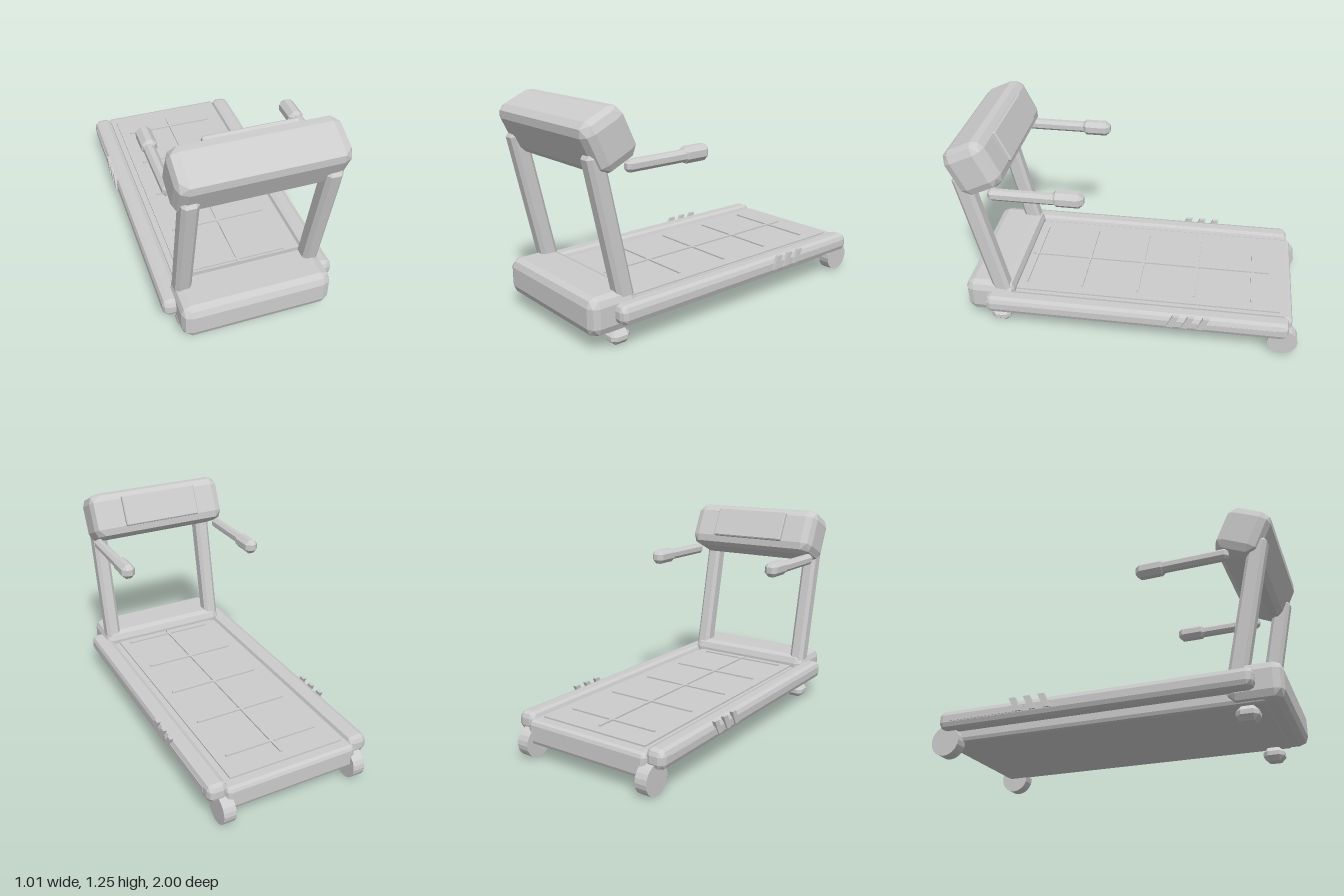
import * as THREE from 'three';
import { ConvexGeometry } from 'three/addons/geometries/ConvexGeometry.js';

const grey = new THREE.MeshStandardMaterial({ color: 0xcccccc });
grey.name = 'light grey';

// Box with bevelled edges: hull of eight faceted corner octants
function bevelBox(w, h, d, r, segs = 1) {
  const pts = [];
  for (const sx of [-1, 1]) for (const sy of [-1, 1]) for (const sz of [-1, 1])
    for (let i = 0; i <= segs; i++) for (let j = 0; j <= segs - i; j++) {
      const n = new THREE.Vector3(i, j, segs - i - j).normalize();
      pts.push(new THREE.Vector3(
        sx * (w / 2 - r + n.x * r), sy * (h / 2 - r + n.y * r), sz * (d / 2 - r + n.z * r)));
    }
  return new ConvexGeometry(pts);
}

export function createModel() {
  const model = new THREE.Group();
  model.name = 'treadmill';

  const add = (name, geo, x, y, z, rx = 0, parent = model) => {
    const mesh = new THREE.Mesh(geo, grey);
    mesh.name = name;
    mesh.position.set(x, y, z);
    mesh.rotation.x = rx;
    parent.add(mesh);
    return mesh;
  };

  // Running deck, belt and tread lines
  add('deck', bevelBox(0.8, 0.14, 1.86, 0.025, 2), 0, 0.155, -0.03);
  add('belt', new THREE.BoxGeometry(0.695, 0.02, 1.62), 0, 0.224, -0.075);
  add('treadLineCentre', new THREE.BoxGeometry(0.014, 0.012, 1.5), 0, 0.237, -0.075);
  for (let i = 0; i < 5; i++)
    add('treadLineCross', new THREE.BoxGeometry(0.57, 0.012, 0.014), 0, 0.237, -0.72 + i * 0.34);

  // Motor hood
  add('motorHood', bevelBox(0.85, 0.21, 0.295, 0.05, 2), 0, 0.195, 0.837);

  // Console with display panel on the user's side
  const consoleGroup = new THREE.Group();
  consoleGroup.name = 'console';
  consoleGroup.position.set(0, 1.083, 0.84);
  consoleGroup.rotation.x = 0.44;
  model.add(consoleGroup);
  add('consoleBody', bevelBox(0.89, 0.29, 0.26, 0.058, 2), 0, 0, 0, 0, consoleGroup);
  add('displayPanel', bevelBox(0.5, 0.19, 0.03, 0.006), 0, 0.005, -0.138, 0, consoleGroup);

  // Slanted side accent
  const slash = new THREE.Shape([
    new THREE.Vector2(0, 0), new THREE.Vector2(0.038, 0),
    new THREE.Vector2(0.076, 0.08), new THREE.Vector2(0.038, 0.08)]);
  const slashGeo = new THREE.ExtrudeGeometry(slash, { depth: 0.02, bevelEnabled: false });
  slashGeo.translate(0, 0, -0.01).rotateY(Math.PI / 2);

  const wheelGeo = new THREE.CylinderGeometry(0.087, 0.087, 0.072, 20).toNonIndexed();
  wheelGeo.computeVertexNormals();
  wheelGeo.rotateZ(Math.PI / 2);

  // Parts repeated on both sides
  for (const s of [-1, 1]) {
    add('sideRail', bevelBox(0.115, 0.107, 1.785, 0.033, 2), s * 0.437, 0.197, -0.045);
    add('upright', bevelBox(0.092, 0.86, 0.1, 0.02), s * 0.37, 0.61, 0.833, 0.21);
    add('handleBar', bevelBox(0.06, 0.064, 0.4, 0.018), s * 0.42, 0.948, 0.56);
    add('handGrip', bevelBox(0.084, 0.088, 0.178, 0.026), s * 0.415, 0.95, 0.318);
    add('foot', bevelBox(0.118, 0.078, 0.118, 0.027), s * 0.35, 0.043, 0.79);
    add('footStem', new THREE.BoxGeometry(0.05, 0.05, 0.05), s * 0.35, 0.09, 0.79);
    add('rearWheel', wheelGeo, s * 0.405, 0.087, -0.912);
    add('sideStripe', new THREE.BoxGeometry(0.012, 0.036, 0.468), s * 0.492, 0.198, -0.631);
    for (let i = 0; i < 3; i++)
      add('sideSlash', slashGeo, s * 0.495, 0.18, -0.235 - i * 0.087);
  }
  return model;
}
